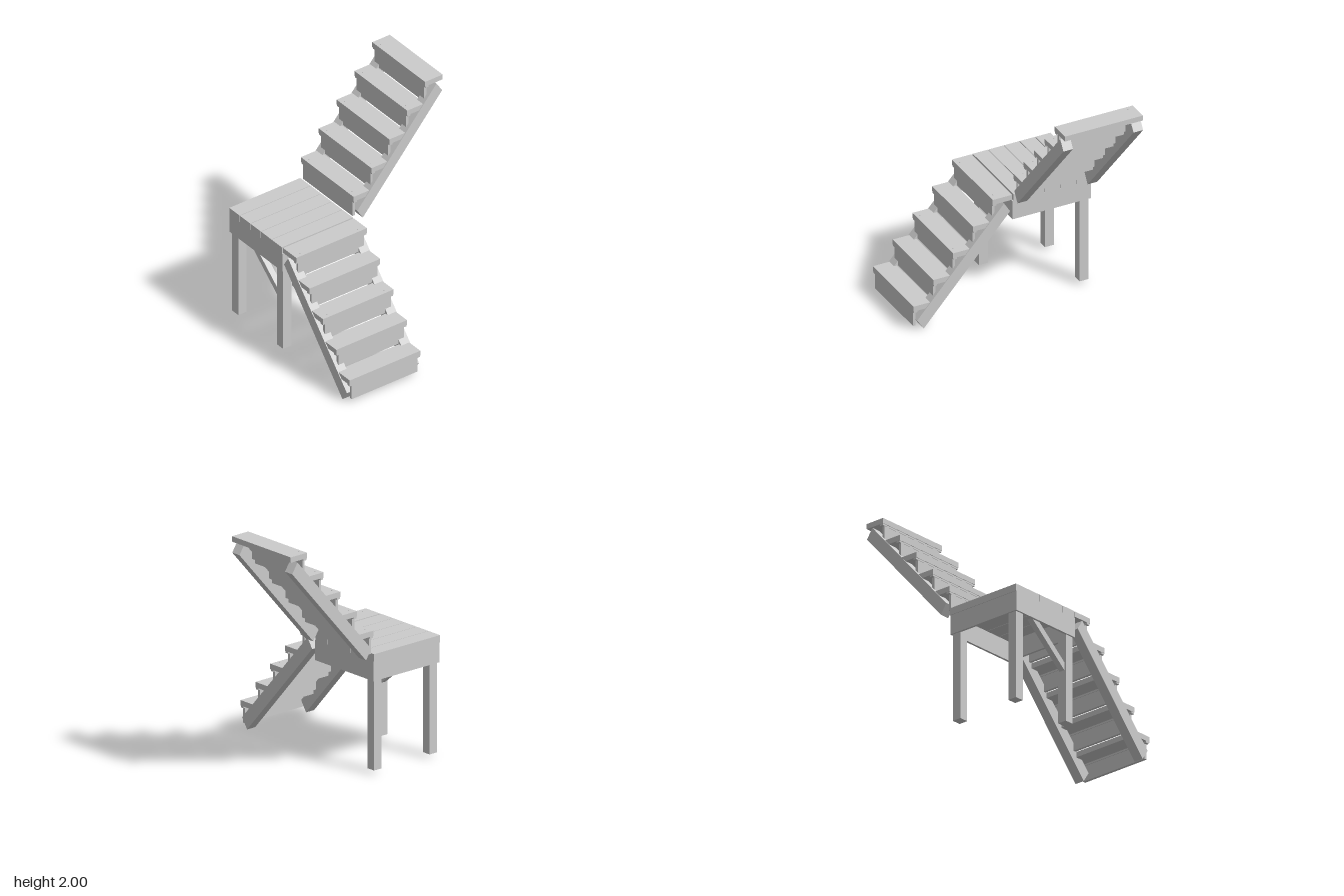
import * as THREE from 'three';

const wood = new THREE.MeshStandardMaterial({ color: 0xcccccc, flatShading: true });

function add(parent, name, geometry) {
  const mesh = new THREE.Mesh(geometry, wood);
  mesh.name = name;
  parent.add(mesh);
  return mesh;
}

// Box given by its min and max on each axis
function box(parent, name, [x0, x1], [y0, y1], [z0, z1]) {
  const mesh = add(parent, name, new THREE.BoxGeometry(x1 - x0, y1 - y0, z1 - z0));
  mesh.position.set((x0 + x1) / 2, (y0 + y1) / 2, (z0 + z1) / 2);
  return mesh;
}

// Board with an outline in x/y, extruded along z from z0 to z1
function board(parent, name, points, z0, z1) {
  const shape = new THREE.Shape(points.map(([x, y]) => new THREE.Vector2(x, y)));
  const geometry = new THREE.ExtrudeGeometry(shape, { depth: z1 - z0, bevelEnabled: false });
  const mesh = add(parent, name, geometry);
  mesh.position.z = z0;
  return mesh;
}

// Straight flight climbing along +x, centred on z = 0
function flight(name, { firstTop, rise, riserBase, outline, screws }) {
  const group = new THREE.Group();
  group.name = name;
  const going = 0.1745, depth = 0.172, thick = 0.045;

  for (let i = 0; i < 5; i++) {
    const x = i * going, top = firstTop + i * rise;
    const under = top - thick;
    const base = i ? top - rise : riserBase;
    box(group, 'tread', [x, x + depth], [under, top], [-0.345, 0.345]);
    box(group, 'riser', [x + 0.006, x + 0.029], [base, under], [-0.322, 0.322]);
    box(group, 'treadTrim', [x + 0.004, x + 0.034], [under - 0.015, under], [-0.343, 0.343]);
    // Screw heads on the tread
    for (const z of screws[i]) {
      add(group, 'screw', new THREE.CylinderGeometry(0.005, 0.005, 0.006, 8))
        .position.set(x + 0.035, top + 0.001, z);
    }
  }
  // Sloping side beams
  board(group, 'stringer', outline, -0.352, -0.267);
  board(group, 'stringer', outline, 0.267, 0.352);
  return group;
}

function landing() {
  const group = new THREE.Group();
  group.name = 'landing';
  const X = [-0.785, -0.092];

  // Deck planks
  const pitch = 0.1382;
  for (let i = 0; i < 5; i++) {
    const z = -0.782 + i * pitch;
    box(group, 'deckPlank', X, [0.94, 1.0], [z, z + pitch - 0.005]);
  }
  // Rim boards
  const Y = [0.775, 0.94], t = 0.02;
  for (const z of [-0.777, -0.107]) box(group, 'rimBoard', X, Y, [z, z + t]);
  for (const x of [X[0], X[1] - t]) box(group, 'rimBoard', [x, x + t], Y, [-0.757, -0.107]);

  // Posts at three corners; the corner between the flights is free
  for (const [x, z] of [[-0.73, -0.725], [-0.147, -0.725], [-0.73, -0.14]]) {
    box(group, 'post', [x - 0.04, x + 0.04], [0.03, 0.94], [z - 0.04, z + 0.04]);
  }
  // Diagonal brace from the front post to the rim
  const brace = new THREE.Group();
  brace.name = 'braceMount';
  brace.rotation.y = Math.PI / 2;
  board(brace, 'brace', [[0.17, 0.465], [0.18, 0.47], [0.56, 0.79], [0.48, 0.79], [0.17, 0.53]], -0.755, -0.705);
  group.add(brace);
  return group;
}

export function createModel() {
  const model = new THREE.Group();
  model.name = 'staircase';

  // Lower flight climbs from the front towards the back
  const lower = flight('lowerFlight', {
    firstTop: 0.22, rise: 0.195, riserBase: 0.03,
    outline: [[0.027, 0.088], [0.085, 0], [0.848, 0.86], [0.795, 0.945]],
    screws: [[], [], [-0.28, 0.28], [], [-0.28, 0.28]],
  });
  lower.rotation.y = Math.PI / 2;
  lower.position.set(-0.438, 0, 0.787);

  // Upper flight climbs from the landing to the left
  const upper = flight('upperFlight', {
    firstTop: 0.196, rise: 0.201, riserBase: 0,
    outline: [[0.03, 0.055], [0.085, -0.03], [0.86, 0.86], [0.805, 0.945]],
    screws: [[-0.285, 0.28], [-0.285, 0.28], [-0.285], [-0.285, 0.28], [-0.285]],
  });
  upper.position.set(-0.088, 1, -0.435);

  model.add(lower, landing(), upper);
  return model;
}
